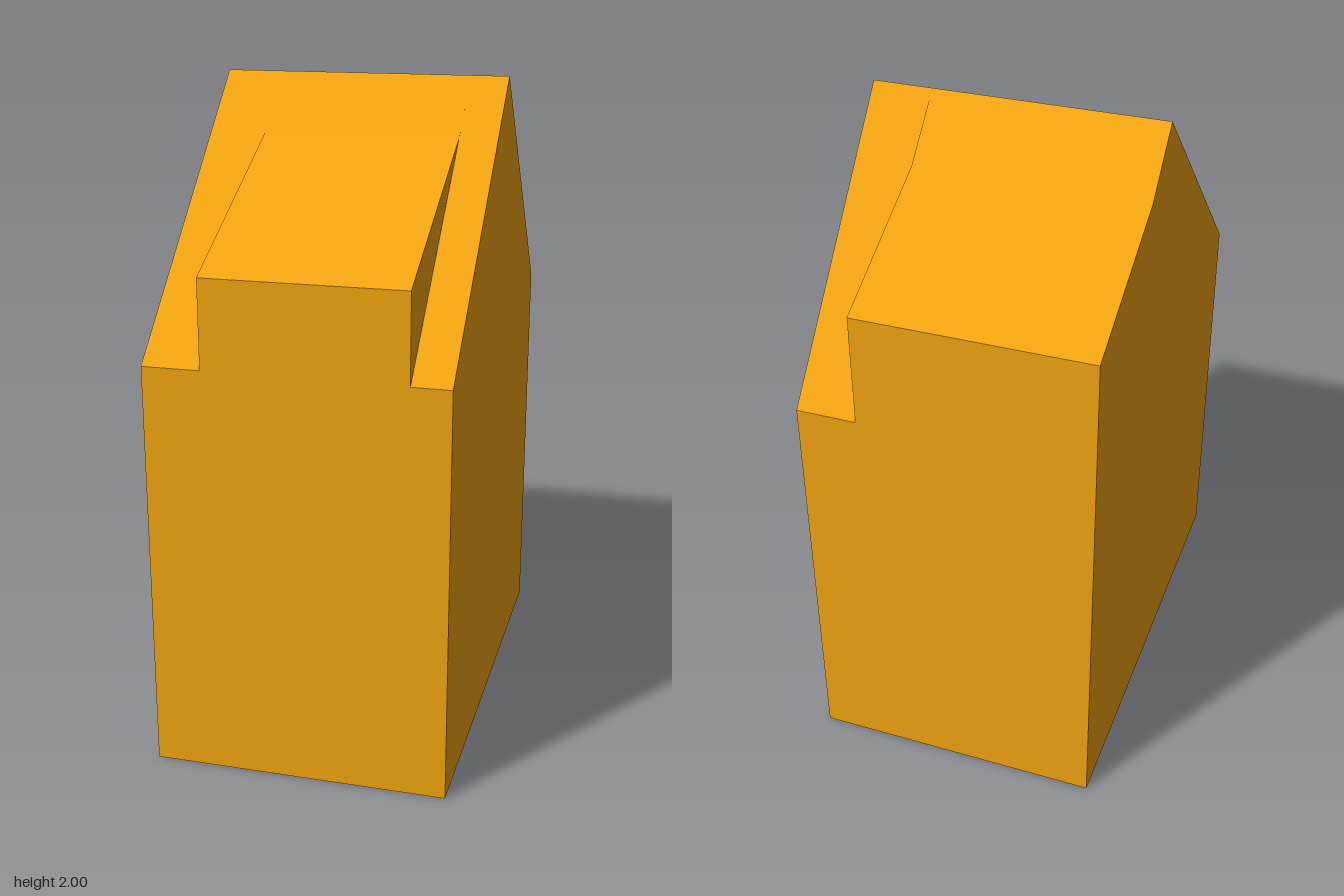
import * as THREE from 'three';

// Profile points are [z, y] in the house's own frame, ordered ridge > front > floor > back.
const W = 0.447, D = 0.72, EAVE = 1.25;
const ridge = [-0.083, 2];
const frontEave = [D, EAVE], backEave = [-D, EAVE];
const frontFoot = [D, 0], backFoot = [-D, 0];

// Front dormer
const F0 = -0.272, F1 = 0.33;
const dormerStart = [0.095, 1.834], dormerTop = [D, 1.515];

// Rear dormer, flush with the right wall
const B1 = 0.263;
const rearBreak = [-0.256, 1.83], rearTop = [-D, 1.595];

const material = new THREE.MeshStandardMaterial({ color: 0xf0a30f, flatShading: true });

// Sweep an open profile from x0 to x1
function sweep(profile, x0, x1) {
  const out = [];
  for (let i = 0; i < profile.length - 1; i++) {
    const [a, b] = [profile[i], profile[i + 1]];
    const [p, q, r, s] = [[x0, a], [x0, b], [x1, b], [x1, a]].map(([x, [z, y]]) => [x, y, z]);
    out.push(p, q, r, p, r, s);
  }
  return out;
}

// Flat vertical face at x, looking towards +x (side 1) or -x (side -1)
function cap(profile, x, side) {
  const pts = profile.map(([z, y]) => [x, y, z]);
  if (side < 0) pts.reverse();
  const contour = pts.map(([, y, z]) => new THREE.Vector2(-z, y));
  const out = [];
  for (const tri of THREE.ShapeUtils.triangulateShape(contour, [])) {
    // keep the winding consistent with the side
    const [a, b, c] = tri.map((i) => contour[i]);
    const area = (b.x - a.x) * (c.y - a.y) - (b.y - a.y) * (c.x - a.x);
    const order = area * side > 0 ? tri : [tri[0], tri[2], tri[1]];
    out.push(...order.map((i) => pts[i]));
  }
  return out;
}

function part(name, ...pieces) {
  const geometry = new THREE.BufferGeometry();
  geometry.setAttribute('position', new THREE.Float32BufferAttribute(pieces.flat(2), 3));
  geometry.computeVertexNormals();
  const mesh = new THREE.Mesh(geometry, material);
  mesh.name = name;
  return mesh;
}

export function createModel() {
  const house = new THREE.Group();
  house.name = 'house';
  house.rotation.y = -0.212;

  house.add(
    // Front wall, floor and back wall, plus the two gable ends
    part('walls',
      sweep([frontEave, frontFoot, backFoot, backEave], -W, W),
      cap([ridge, frontEave, frontFoot, backFoot, backEave], W, 1),
      cap([ridge, frontEave, frontFoot, backFoot, rearTop, rearBreak], -W, -1)),

    // Main roof slopes around the dormers
    part('roof',
      sweep([ridge, frontEave], -W, F0),
      sweep([ridge, dormerStart], F0, F1),
      sweep([ridge, frontEave], F1, W),
      sweep([backEave, ridge], B1, W)),

    // Shed dormer rising flush from the front wall
    part('frontDormer',
      sweep([dormerStart, dormerTop, frontEave], F0, F1),
      cap([dormerStart, frontEave, dormerTop], F0, -1),
      cap([dormerStart, frontEave, dormerTop], F1, 1)),

    // Wide dormer with a bent roof at the back
    part('rearDormer',
      sweep([backEave, rearTop, rearBreak, ridge], -W, B1),
      cap([ridge, backEave, rearTop, rearBreak], B1, 1)),
  );

  const model = new THREE.Group();
  model.name = 'model';
  model.add(house);
  return model;
}
